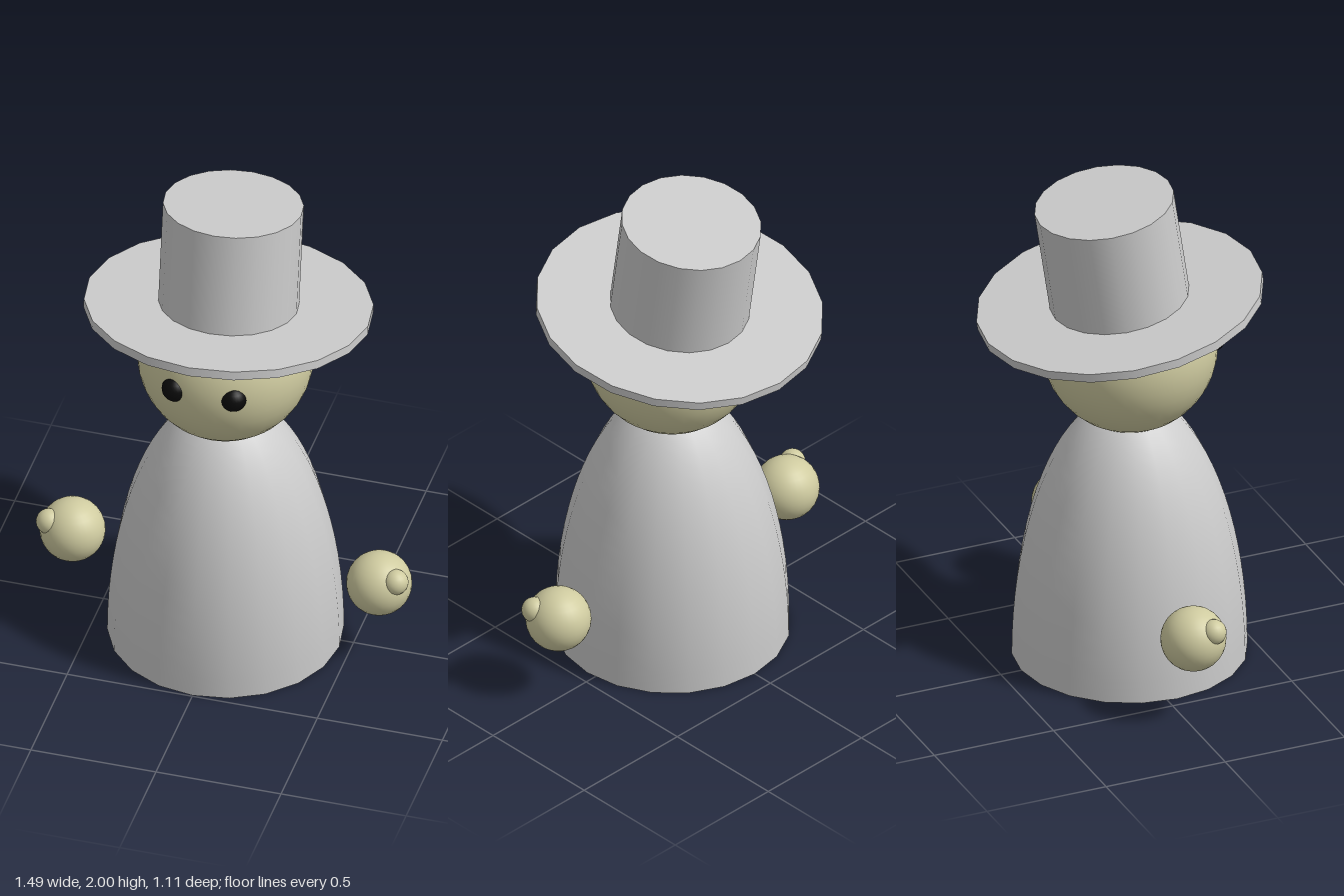
import * as THREE from 'three';

const grey = new THREE.MeshStandardMaterial({ color: 0xcccccc });
const skin = new THREE.MeshStandardMaterial({ color: 0xcfcba0 });
const black = new THREE.MeshStandardMaterial({ color: 0x0a0a0a });

function add(parent, name, geometry, material, x, y, z) {
  const mesh = new THREE.Mesh(geometry, material);
  mesh.name = name;
  mesh.position.set(x, y, z);
  parent.add(mesh);
  return mesh;
}

const ball = (r, n = 32) => new THREE.SphereGeometry(r, n, n / 2);

export function createModel() {
  const model = new THREE.Group();
  model.name = 'figure';
  const z0 = 0.04; // the figure stands slightly ahead of the hat's centre

  // Robe: upper half of a tall ellipsoid with a flat base
  const profile = [];
  for (let i = 0; i <= 20; i++) {
    const a = (i / 20) * Math.PI / 2;
    profile.push(new THREE.Vector2(0.455 * Math.cos(a), 1.1 * Math.sin(a)));
  }
  profile[20].x = 0;
  add(model, 'robe', new THREE.LatheGeometry(profile, 20), grey, 0, 0, z0);
  const base = add(model, 'robeBase', new THREE.CircleGeometry(0.455, 20), grey, 0, 0, z0);
  base.rotation.x = Math.PI / 2;

  // Head
  add(model, 'head', ball(0.34, 40), skin, 0, 1.32, z0);

  // Eyes and floating hands, mirrored left and right
  for (const [side, s] of [['left', 1], ['right', -1]]) {
    add(model, side + 'Eye', ball(0.051, 24), black, s * 0.117, 1.34, 0.335);
    const hand = new THREE.Group();
    hand.name = side + 'Hand';
    hand.position.set(s * 0.613, 0.34, 0.037);
    add(hand, side + 'Palm', ball(0.127), skin, 0, 0, 0);
    add(hand, side + 'Thumb', ball(0.05, 24), skin, s * 0.08, 0.056, 0.05);
    model.add(hand);
  }

  // Top hat, tipped backwards
  const hat = new THREE.Group();
  hat.name = 'hat';
  hat.position.set(0, 1.518, 0);
  hat.rotation.x = -0.15;
  add(hat, 'brim', new THREE.CylinderGeometry(0.557, 0.557, 0.036, 20), grey, 0, 0, 0);
  add(hat, 'crown', new THREE.CylinderGeometry(0.271, 0.271, 0.447, 20), grey, 0, 0.2235, 0);
  model.add(hat);

  return model;
}
